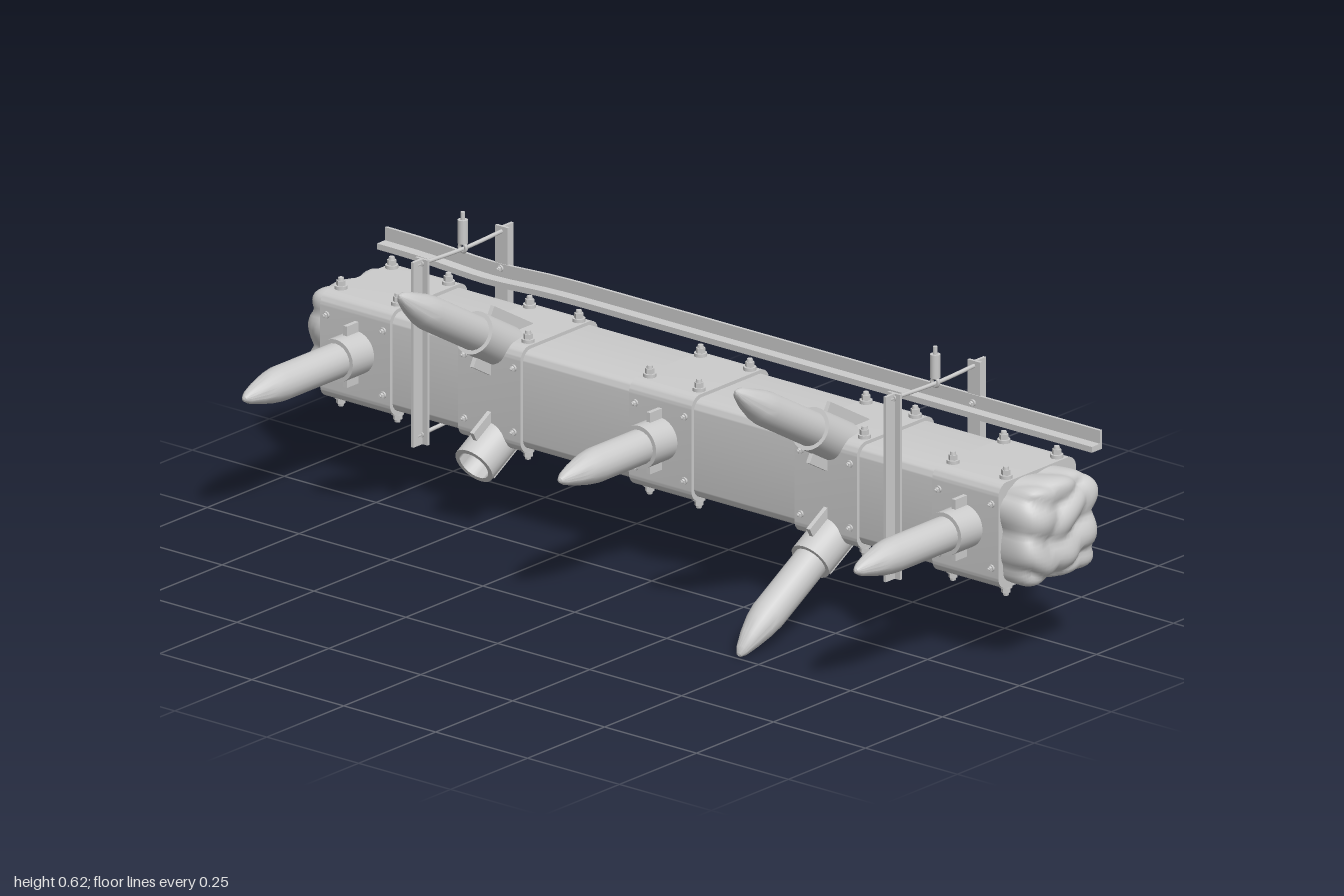
import * as THREE from 'three';
import { toCreasedNormals, mergeVertices } from 'three/addons/utils/BufferGeometryUtils.js';

const mat = new THREE.MeshStandardMaterial({ color: 0xcccccc });
const matDouble = new THREE.MeshStandardMaterial({ color: 0xcccccc, side: THREE.DoubleSide });
const CY = 0.292, CZ = -0.165; // beam axis

function add(parent, name, geo, x = 0, y = 0, z = 0, m = mat) {
  const mesh = new THREE.Mesh(geo, m);
  mesh.name = name;
  mesh.position.set(x, y, z);
  parent.add(mesh);
  return mesh;
}

// Rounded rectangular prism running along x
function roundedPrism(depth, height, length, r) {
  const w = depth / 2, h = height / 2, s = new THREE.Shape();
  s.absarc(w - r, h - r, r, 0, Math.PI / 2);
  s.absarc(-w + r, h - r, r, Math.PI / 2, Math.PI);
  s.absarc(-w + r, -h + r, r, Math.PI, Math.PI * 1.5);
  s.absarc(w - r, -h + r, r, Math.PI * 1.5, Math.PI * 2);
  const g = new THREE.ExtrudeGeometry(s, { depth: length, bevelEnabled: false, curveSegments: 6 });
  g.translate(0, 0, -length / 2).rotateY(Math.PI / 2);
  return toCreasedNormals(g, 0.6);
}

// Hex bolt whose axis is local +y
function bolt(parent, x, y, z, rx, size = 1) {
  const b = new THREE.Group();
  b.name = 'bolt';
  add(b, 'washer', new THREE.CylinderGeometry(0.014 * size, 0.014 * size, 0.008 * size, 12), 0, 0.004 * size);
  add(b, 'nut', toCreasedNormals(new THREE.CylinderGeometry(0.01 * size, 0.01 * size, 0.012 * size, 6), 0.5), 0, 0.013 * size);
  add(b, 'shank', new THREE.CylinderGeometry(0.006 * size, 0.007 * size, 0.007 * size, 8), 0, 0.022 * size);
  b.position.set(x, y, z);
  b.rotation.x = rx;
  parent.add(b);
}

// Metal sleeve around the beam, bolted on all four sides
function sleeve(parent, x, length) {
  const g = new THREE.Group();
  g.name = 'sleeve';
  g.position.x = x;
  add(g, 'sleevePlate', roundedPrism(0.252, 0.235, length, 0.028), 0, CY, CZ);
  for (const sx of [-1, 1]) {
    const bx = sx * (length / 2 - 0.018);
    for (const z of [-0.085, -0.25]) {
      bolt(g, bx, 0.409, z, 0);
      bolt(g, bx, 0.175, z, Math.PI);
    }
    for (const y of [0.222, 0.364]) {
      bolt(g, bx, y, -0.039, Math.PI / 2, 0.55);
      bolt(g, bx, y, -0.291, -Math.PI / 2, 0.55);
    }
  }
  parent.add(g);
}

// Spike in a socket; local +y is its axis, tilt is the angle above horizontal
function spike(parent, x, y, z, tilt, length, lean, broken = false) {
  const g = new THREE.Group();
  g.name = broken ? 'emptySocket' : 'spike';
  const collar = [[0.036, 0.01], [0.036, 0.07], [0.047, 0.07], [0.047, -0.05]].map(p => new THREE.Vector2(...p));
  const cg = new THREE.LatheGeometry(collar, 24);
  add(g, 'socketCollar', toCreasedNormals(cg, 0.6), 0, 0, 0, matDouble);
  add(g, 'socketFloor', new THREE.CylinderGeometry(0.04, 0.04, 0.01, 24), 0, 0.01);
  add(g, 'gussetFin', new THREE.BoxGeometry(0.01, 0.145, 0.136), 0, -0.033);
  if (!broken) {
    const neck = length - 0.115;
    const pts = [[0.038, 0], [0.038, neck], [0.034, neck + 0.03], [0.025, neck + 0.067],
      [0.014, neck + 0.1], [0.006, neck + 0.112], [0, length]].map(p => new THREE.Vector2(...p));
    const geo = new THREE.LatheGeometry(pts, 20);
    const p = geo.attributes.position;
    // Hewn, slightly leaning tip
    for (let i = 0; i < p.count; i++) {
      const t = Math.max(0, (p.getY(i) - neck) / 0.115);
      p.setZ(i, p.getZ(i) + lean * t * t);
    }
    geo.computeVertexNormals();
    add(g, 'stake', toCreasedNormals(geo, 0.5));
  }
  g.position.set(x, y, z);
  g.rotation.x = Math.PI / 2 - tilt;
  parent.add(g);
}

// Crumpled, bulging end of the beam
function crumpledEnd(parent, x, side) {
  let geo = new THREE.BoxGeometry(2, 2, 2, 20, 20, 20);
  geo.deleteAttribute('uv');
  geo.deleteAttribute('normal');
  geo = mergeVertices(geo);
  const p = geo.attributes.position, v = new THREE.Vector3();
  for (let i = 0; i < p.count; i++) {
    v.fromBufferAttribute(p, i);
    const n = Math.pow(Math.abs(v.x) ** 5 + Math.abs(v.y) ** 5 + Math.abs(v.z) ** 5, 0.2);
    v.divideScalar(n);
    const a = v.y * 4.2 + Math.sin(v.z * 3 + side) * 0.7;
    const b = v.z * 4.2 + Math.sin(v.y * 4 - side) * 0.6;
    const fold = 0.6 * Math.abs(Math.sin(a)) + 0.4 * Math.abs(Math.sin(b + v.x * 2));
    const k = 0.87 + 0.13 * fold;
    p.setXYZ(i, v.x * 0.088 * (0.72 + 0.28 * fold), v.y * 0.115 * k, v.z * 0.122 * k);
  }
  geo.computeVertexNormals();
  add(parent, 'crumpledEnd', geo, x, CY, CZ);
}

// Pair of T-section posts clamped to the beam by tie rods
function bracket(parent, x) {
  const g = new THREE.Group();
  g.name = 'clampBracket';
  g.position.x = x;
  for (const [z, s] of [[-0.04, 1], [-0.293, -1]]) {
    add(g, 'postFlange', new THREE.BoxGeometry(0.034, 0.41, 0.007), 0, 0.345, z + s * 0.0035);
    add(g, 'postWeb', new THREE.BoxGeometry(0.007, 0.41, 0.036), 0, 0.345, z + s * 0.018);
  }
  for (const [y, bow] of [[0.54, 0.005], [0.161, -0.005]]) {
    const curve = new THREE.CatmullRomCurve3([
      new THREE.Vector3(0, y, -0.02), new THREE.Vector3(0, y - bow, -0.17), new THREE.Vector3(0, y, -0.312)]);
    add(g, 'tieRod', new THREE.TubeGeometry(curve, 12, 0.0045, 8), 0, 0, 0);
    for (const z of [-0.034, -0.305])
      add(g, 'rodNut', new THREE.CylinderGeometry(0.008, 0.008, 0.01, 6).rotateX(Math.PI / 2), 0, y, z);
  }
  // Hanger on the upper rod
  add(g, 'hangerRing', new THREE.TorusGeometry(0.009, 0.004, 8, 16), 0, 0.538, -0.168);
  add(g, 'hangerBody', new THREE.CylinderGeometry(0.011, 0.011, 0.052, 16), 0, 0.574, -0.168);
  add(g, 'hangerPin', new THREE.CylinderGeometry(0.005, 0.005, 0.018, 10), 0, 0.608, -0.168);
  parent.add(g);
}

// Angle-iron rail behind the beam top, dented towards one end
function rail(parent) {
  const s = new THREE.Shape([[0.265, 0.434], [0.298, 0.434], [0.298, 0.476], [0.291, 0.476], [0.291, 0.447], [0.265, 0.447]]
    .map(p => new THREE.Vector2(...p)));
  const geo = new THREE.ExtrudeGeometry(s, { depth: 1.945, steps: 40, bevelEnabled: false });
  geo.translate(0, 0, -0.97).rotateY(Math.PI / 2);
  const p = geo.attributes.position;
  for (let i = 0; i < p.count; i++) {
    const d = (p.getX(i) + 0.68) / 0.13;
    p.setY(i, p.getY(i) - 0.009 * Math.exp(-d * d));
  }
  geo.computeVertexNormals();
  add(parent, 'rail', toCreasedNormals(geo, 0.5));
  for (const x of [-0.655, 0.63]) {
    bolt(parent, x, 0.458, -0.297, -Math.PI / 2, 0.55);
    bolt(parent, x, 0.458, -0.291, Math.PI / 2, 0.55);
  }
}

export function createModel() {
  const model = new THREE.Group();
  model.name = 'spikedBeam';

  add(model, 'beam', roundedPrism(0.236, 0.22, 1.83, 0.026), -0.01, CY, CZ);
  for (const [x, len] of [[-0.84, 0.19], [-0.475, 0.17], [-0.01, 0.17], [0.44, 0.17], [0.82, 0.18]])
    sleeve(model, x, len);
  crumpledEnd(model, -0.912, -1);
  crumpledEnd(model, 0.912, 1);

  // Straight spikes
  for (const [x, len] of [[-0.835, 0.37], [-0.01, 0.33], [0.82, 0.36]])
    spike(model, x, 0.3, -0.04, 0, len, 0.003);
  // Angled spikes, one of the lower sockets being empty
  const a = Math.PI / 6;
  for (const x of [-0.475, 0.44]) {
    spike(model, x, 0.405, -0.05, a, 0.355, -0.008);
    spike(model, x, 0.18, -0.05, -a, 0.345, 0.008, x < 0);
  }

  for (const x of [-0.655, 0.63]) bracket(model, x);
  rail(model);
  return model;
}
